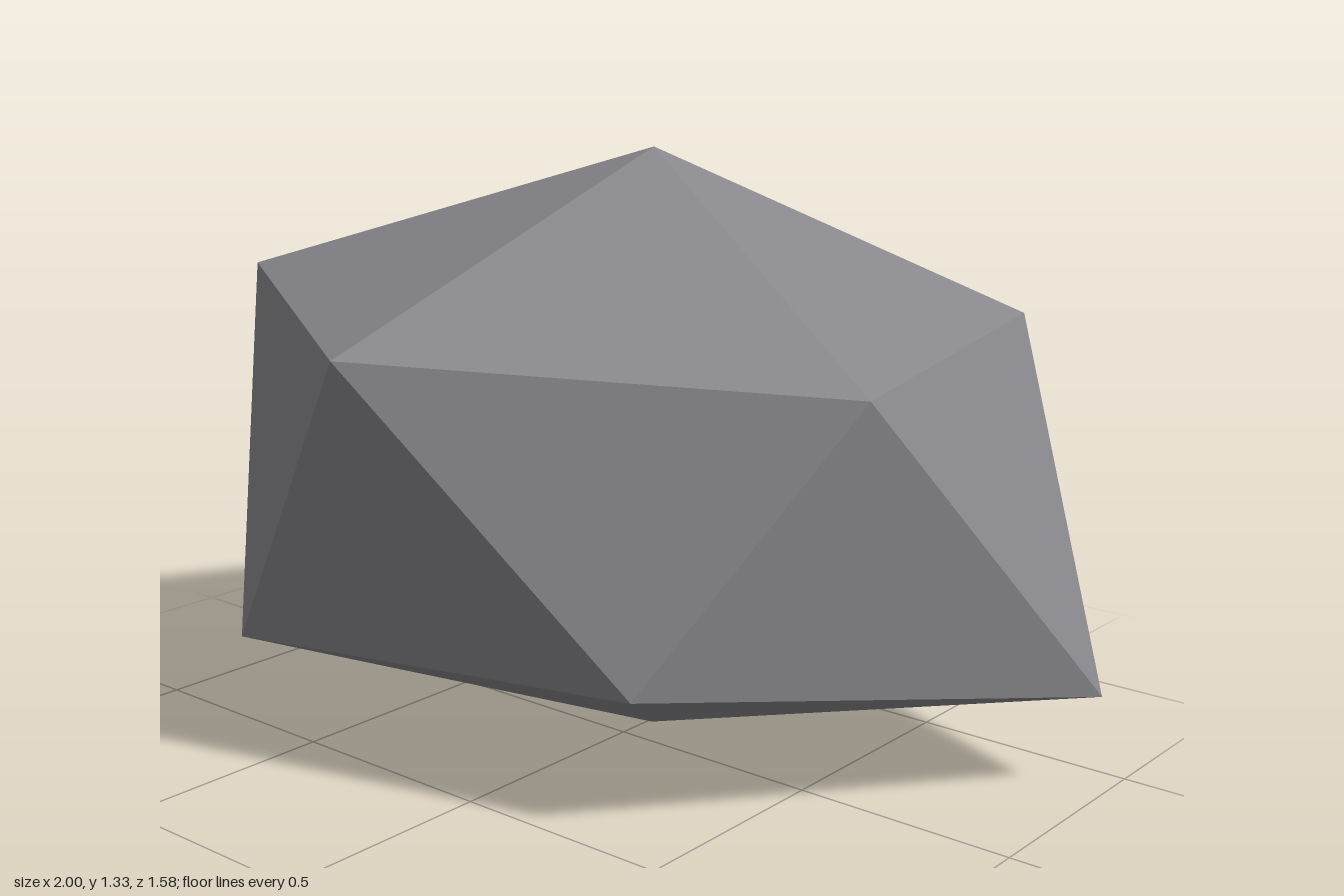
import * as THREE from 'three';

// A faceted boulder: two poles joined by two staggered rings of five corners.
export function createModel() {
  const group = new THREE.Group();
  group.name = 'boulder';

  const stone = new THREE.MeshStandardMaterial({ color: 0x87878b, flatShading: true });
  stone.name = 'stone grey';

  const top = [0.01, 1.33, -0.09];
  const bottom = [0.01, 0, -0.09];

  // Rings run left-front-right-back; each lower corner sits between two upper ones
  const upper = [
    [-1, 1.01, 0.19], [-0.06, 0.985, 0.79], [0.72, 0.905, 0.12],
    [0.58, 0.945, -0.72], [-0.5, 0.98, -0.79],
  ];
  const lower = [
    [-0.61, 0.255, 0.6], [0.42, 0.32, 0.475], [1, 0.23, -0.365],
    [0.08, 0.32, -0.775], [-0.63, 0.36, -0.29],
  ];

  // Crown, two zigzag side facets and underside for each fifth
  const corners = [];
  for (let i = 0; i < 5; i++) {
    const j = (i + 1) % 5;
    corners.push(
      top, upper[i], upper[j],
      lower[i], upper[j], upper[i],
      upper[j], lower[i], lower[j],
      bottom, lower[j], lower[i],
    );
  }

  const geometry = new THREE.BufferGeometry();
  geometry.setAttribute('position', new THREE.Float32BufferAttribute(corners.flat(), 3));
  geometry.computeVertexNormals();

  const rock = new THREE.Mesh(geometry, stone);
  rock.name = 'rock';
  group.add(rock);
  return group;
}
